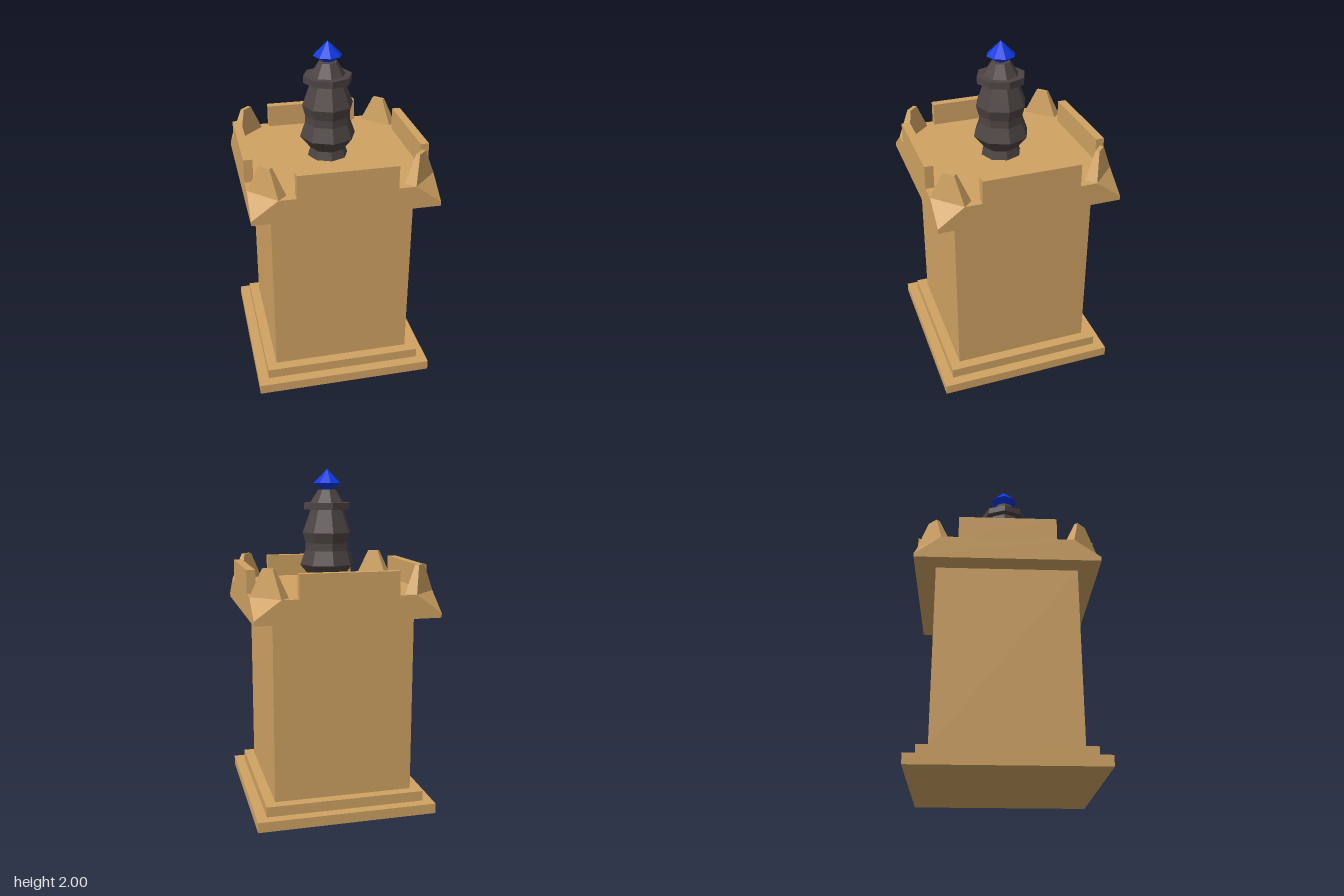
import * as THREE from 'three';
import { ConvexGeometry } from 'three/addons/geometries/ConvexGeometry.js';

const mat = (color) => new THREE.MeshStandardMaterial({ color, flatShading: true });

export function createModel() {
  const model = new THREE.Group();
  model.name = 'pedestal';
  const stone = mat(0xcfa263);
  const iron = mat(0x4c4442);
  const blue = mat(0x0e38e0);

  const add = (name, geometry, material, parent = model) => {
    const mesh = new THREE.Mesh(geometry, material);
    mesh.name = name;
    parent.add(mesh);
    return mesh;
  };
  // Square block between two heights
  const block = (name, half, y0, y1) => {
    const g = new THREE.BoxGeometry(half * 2, y1 - y0, half * 2);
    add(name, g.translate(0, (y0 + y1) / 2, 0), stone);
  };
  // Eight-sided turned part
  const turned = (name, profile, material) =>
    add(name, new THREE.LatheGeometry(profile.map(([r, y]) => new THREE.Vector2(r, y)), 8), material);

  // Stepped base and shaft
  block('lowerStep', 0.53, 0, 0.06);
  block('upperStep', 0.47, 0.06, 0.12);
  block('shaft', 0.41, 0.12, 1.18);

  // Cap slab with its four top corners cut off
  const H = 0.53, C = 0.38, deck = 1.315;
  const points = [];
  for (const sx of [-1, 1]) for (const sz of [-1, 1]) {
    points.push(
      new THREE.Vector3(sx * H, 1.18, sz * H),
      new THREE.Vector3(sx * H, 1.205, sz * H),
      new THREE.Vector3(sx * C, deck, sz * H),
      new THREE.Vector3(sx * H, deck, sz * C));
  }
  add('cap', new ConvexGeometry(points), stone);

  // Corner merlon: a box whose top shrinks to a third
  const merlon = new THREE.BoxGeometry(0.212, 0.157, 0.071);
  const pos = merlon.attributes.position;
  for (let i = 0; i < pos.count; i++) {
    if (pos.getY(i) > 0) {
      pos.setX(i, pos.getX(i) / 3);
      pos.setZ(i, pos.getZ(i) / 3);
    }
  }
  merlon.translate(0, deck + 0.0785, 0.43 * Math.SQRT2);
  merlon.computeVertexNormals();

  // One parapet wall per side and one merlon per corner
  const wall = new THREE.BoxGeometry(0.564, 0.135, 0.05).translate(0, deck + 0.0675, H - 0.025);
  for (let i = 0; i < 4; i++) {
    add('parapet', wall, stone).rotation.y = i * Math.PI / 2;
    add('cornerMerlon', merlon, stone).rotation.y = (i + 0.5) * Math.PI / 2;
  }

  // Turned finial
  turned('finial', [
    [0.12, deck], [0.105, 1.365], [0.165, 1.44], [0.135, 1.525], [0.133, 1.57], [0.15, 1.63],
    [0.1, 1.765], [0.142, 1.765], [0.142, 1.805], [0.103, 1.805], [0.055, 1.88], [0, 1.88],
  ], iron);

  // Gem on top
  turned('gem', [[0, 1.88], [0.035, 1.885], [0.084, 1.917], [0, 2]], blue);

  return model;
}
